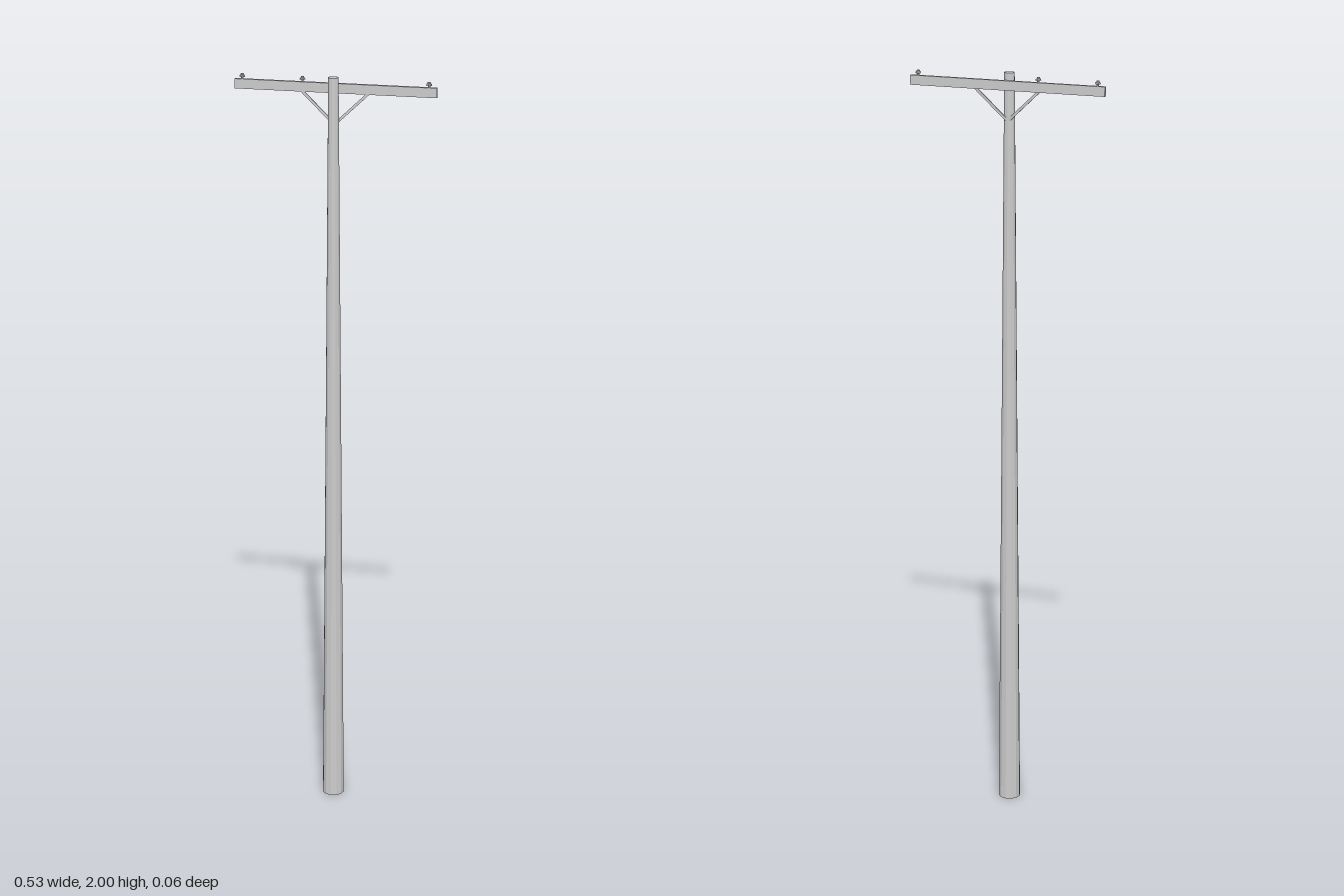
import * as THREE from 'three';

const material = new THREE.MeshStandardMaterial({ color: 0xcccccc, flatShading: true });

function part(name, geometry, x = 0, y = 0, z = 0) {
  const mesh = new THREE.Mesh(geometry, material);
  mesh.name = name;
  mesh.position.set(x, y, z);
  return mesh;
}

// Flat bar running between two points
function bar(name, from, to, width, depth) {
  const a = new THREE.Vector3(...from), b = new THREE.Vector3(...to);
  const dir = b.clone().sub(a);
  const mesh = part(name, new THREE.BoxGeometry(width, dir.length(), depth));
  mesh.position.copy(a).add(b).multiplyScalar(0.5);
  mesh.quaternion.setFromUnitVectors(new THREE.Vector3(0, 1, 0), dir.normalize());
  return mesh;
}

export function createModel() {
  const model = new THREE.Group();
  model.name = 'utilityPole';

  // Tapered pole
  model.add(part('pole', new THREE.CylinderGeometry(0.0135, 0.0295, 2, 12), 0, 1, 0));

  // Crossarm on the back of the pole
  const armZ = -0.0195;
  model.add(part('crossarm', new THREE.BoxGeometry(0.526, 0.025, 0.0095), 0, 1.969, armZ));

  // Diagonal braces
  for (const [name, side] of [['leftBrace', 1], ['rightBrace', -1]]) {
    model.add(bar(name, [side * 0.002, 1.879, -0.0125], [side * 0.09, 1.962, -0.0175], 0.007, 0.004));
  }

  // Insulators: thin pin, flared skirt and rounded cap
  const profile = [[0, 0], [0.003, 0], [0.003, 0.005], [0.0075, 0.006],
    [0.0065, 0.010], [0.004, 0.011], [0.004, 0.014], [0, 0.015]]
    .map(([r, y]) => new THREE.Vector2(r, y));
  const insulator = new THREE.LatheGeometry(profile, 10);
  for (const x of [-0.243, -0.085, 0.242]) {
    model.add(part('insulator', insulator, x, 1.981, armZ));
  }

  return model;
}
